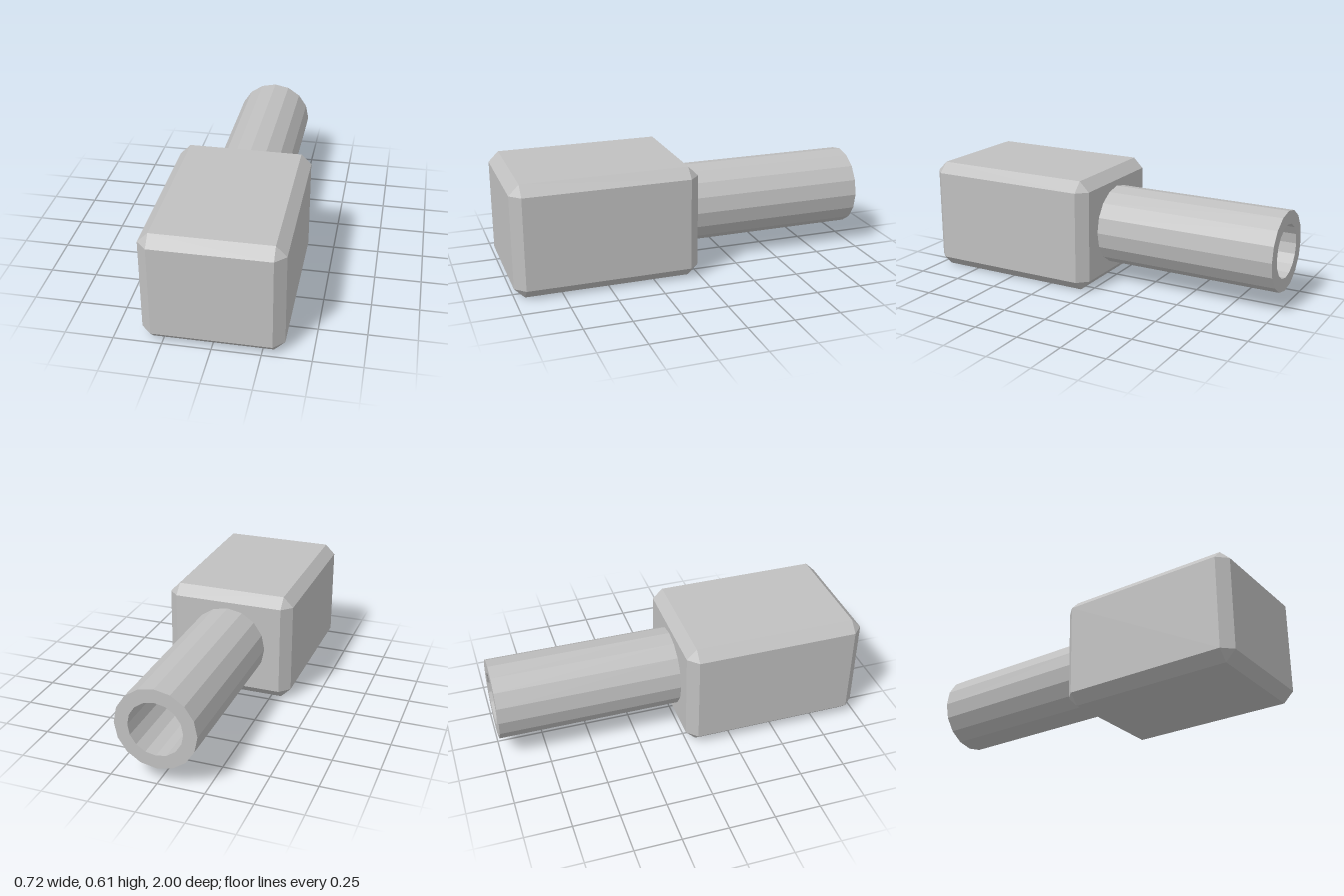
import * as THREE from 'three';
import { ConvexGeometry } from 'three/addons/geometries/ConvexGeometry.js';

const W = 0.36, H = 0.306, D = 0.5; // half sizes of the block
const BEVEL = 0.055;
const OUTER = 0.217, INNER = 0.145, LENGTH = 1, SIDES = 16;

// Box with every edge and corner cut off flat
function chamferedBox(w, h, d, c) {
  const points = [];
  for (const x of [-1, 1]) for (const y of [-1, 1]) for (const z of [-1, 1]) {
    points.push(
      new THREE.Vector3(x * w, y * (h - c), z * (d - c)),
      new THREE.Vector3(x * (w - c), y * h, z * (d - c)),
      new THREE.Vector3(x * (w - c), y * (h - c), z * d),
    );
  }
  return new ConvexGeometry(points);
}

// Faceted hollow tube running from z = 0 to z = -length
function hollowTube(outer, inner, length, sides) {
  const profile = [[outer, 0], [outer, length], [inner, length], [inner, 0]]
    .map(([r, y]) => new THREE.Vector2(r, y));
  const geometry = new THREE.LatheGeometry(profile, sides).toNonIndexed();
  geometry.rotateX(-Math.PI / 2);
  geometry.computeVertexNormals();
  return geometry;
}

export function createModel() {
  const model = new THREE.Group();
  const grey = new THREE.MeshStandardMaterial({ color: 0xc0c0c0 });
  grey.name = 'grey';

  // Bevelled block at the front
  const block = new THREE.Mesh(chamferedBox(W, H, D, BEVEL), grey);
  block.name = 'block';
  block.position.set(0, H, D);

  // Open tube out of the back; the block closes its inner end
  const tube = new THREE.Mesh(hollowTube(OUTER, INNER, LENGTH, SIDES), grey);
  tube.name = 'tube';
  tube.position.set(0, H, 0);

  model.add(block, tube);
  return model;
}
